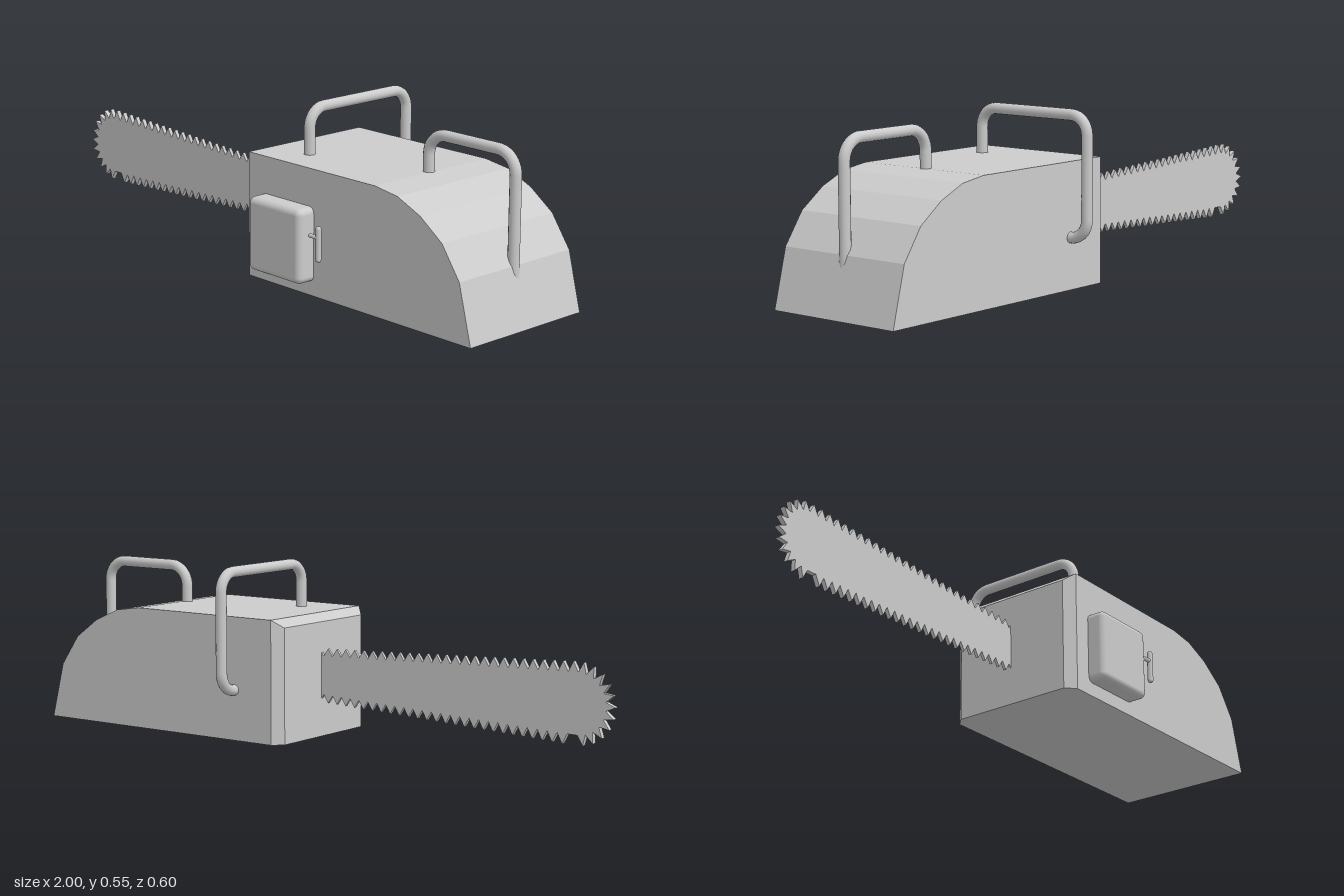
import * as THREE from 'three';
import { RoundedBoxGeometry } from 'three/addons/geometries/RoundedBoxGeometry.js';

const smooth = new THREE.MeshStandardMaterial({ color: 0xcccccc });
const flat = new THREE.MeshStandardMaterial({ color: 0xcccccc, flatShading: true });

function add(group, name, geometry, material = smooth) {
  const mesh = new THREE.Mesh(geometry, material);
  mesh.name = name;
  group.add(mesh);
  return mesh;
}

// Tube through the given corners, each inner corner rounded by radius r
function bentTube(corners, r, tubeRadius) {
  const pts = corners.map((c) => new THREE.Vector3(...c));
  const path = new THREE.CurvePath();
  let from = pts[0];
  for (let i = 1; i < pts.length - 1; i++) {
    const a = pts[i].clone().add(pts[i - 1].clone().sub(pts[i]).setLength(r));
    const b = pts[i].clone().add(pts[i + 1].clone().sub(pts[i]).setLength(r));
    const k = 0.45; // keeps the bend close to a circular arc
    path.add(new THREE.LineCurve3(from, a));
    path.add(new THREE.CubicBezierCurve3(a, a.clone().lerp(pts[i], 1 - k), b.clone().lerp(pts[i], 1 - k), b));
    from = b;
  }
  path.add(new THREE.LineCurve3(from, pts[pts.length - 1]));
  return new THREE.TubeGeometry(path, 90, tubeRadius, 14);
}

// Housing with a faceted, curved rear
function housingGeometry() {
  const shape = new THREE.Shape([
    [0.08, 0], [1, 0], [0.953, 0.18], [0.885, 0.277], [0.8, 0.338], [0.71, 0.377], [0.62, 0.39], [0.08, 0.39],
  ].map(([x, y]) => new THREE.Vector2(x, y)));
  return new THREE.ExtrudeGeometry(shape, { depth: 0.465, bevelEnabled: false }).translate(0, 0, -0.221);
}

// Chamfered nose: a thin box whose outer end is drawn in
function noseGeometry() {
  const geo = new THREE.BoxGeometry(0.03, 0.39, 0.465).translate(0.065, 0.195, 0);
  const p = geo.attributes.position;
  for (let i = 0; i < p.count; i++) {
    if (p.getX(i) > 0.06) continue;
    p.setZ(i, p.getZ(i) - Math.sign(p.getZ(i)) * 0.03);
    if (p.getY(i) > 0.2) p.setY(i, 0.365);
  }
  geo.translate(0, 0, 0.0115);
  geo.computeVertexNormals();
  return geo;
}

// Toothed bar: straight tapering edges joined by a round tip
function bladeGeometry() {
  const cx = -0.877, cy = 0.195, root = 0.11, edgeTeeth = 29, tipTeeth = 11;
  const points = [];
  const edge = (i, side) => {
    const t = i / edgeTeeth;
    const x = root + (cx - root) * t;
    const put = (px, h) => points.push(new THREE.Vector2(px, cy + side * h));
    const peak = 0.083 + 0.042 * t, valley = peak - 0.024 - 0.008 * t;
    const half = ((cx - root) / edgeTeeth / 2) * side;
    put(x, valley);
    put(x + half, peak);
  };
  for (let i = 0; i < edgeTeeth; i++) edge(i, 1);
  for (let i = 0; i <= tipTeeth * 2; i++) {
    const a = Math.PI / 2 + (Math.PI * i) / (tipTeeth * 2);
    const r = i % 2 ? 0.124 : 0.093;
    points.push(new THREE.Vector2(cx + r * Math.cos(a), cy + r * Math.sin(a)));
  }
  for (let i = edgeTeeth - 1; i >= 0; i--) edge(i, -1);
  const geo = new THREE.ExtrudeGeometry(new THREE.Shape(points), { depth: 2, bevelEnabled: false });
  // Thin the bar towards the housing
  const p = geo.attributes.position;
  for (let i = 0; i < p.count; i++) {
    const t = (root - p.getX(i)) / (root + 1);
    p.setZ(i, 0.005 + (p.getZ(i) - 1) * (0.004 + 0.004 * t));
  }
  geo.computeVertexNormals();
  return geo;
}

export function createModel() {
  const model = new THREE.Group();
  model.name = 'chainsaw';

  add(model, 'housing', housingGeometry(), flat);
  add(model, 'housingNose', noseGeometry(), flat);
  add(model, 'toothedBar', bladeGeometry(), flat);

  // Handles
  add(model, 'frontHandle', bentTube([
    [0.225, 0.36, 0.128], [0.225, 0.53, 0.128], [0.225, 0.53, -0.283],
    [0.225, 0.16, -0.283], [0.225, 0.16, -0.2],
  ], 0.058, 0.0175));
  add(model, 'rearHandle', bentTube([
    [0.609, 0.36, 0.012], [0.609, 0.507, 0.012], [0.945, 0.507, 0.012], [0.945, 0.12, 0.012],
  ], 0.065, 0.0175));

  // Side cover, partly sunk into the housing
  add(model, 'sideCover', new RoundedBoxGeometry(0.228, 0.23, 0.1, 4, 0.02)).position.set(0.253, 0.159, 0.254);

  // Starter pull: a T-shaped grip
  const pull = new THREE.Group();
  pull.name = 'starterPull';
  pull.position.set(0.424, 0.18, 0.279);
  add(pull, 'pullGrip', new THREE.CapsuleGeometry(0.009, 0.092, 5, 12));
  const stem = add(pull, 'pullStem', new THREE.CapsuleGeometry(0.0065, 0.03, 4, 10));
  stem.rotation.z = Math.PI / 2;
  stem.position.set(-0.02, 0.02, 0);
  model.add(pull);

  return model;
}
